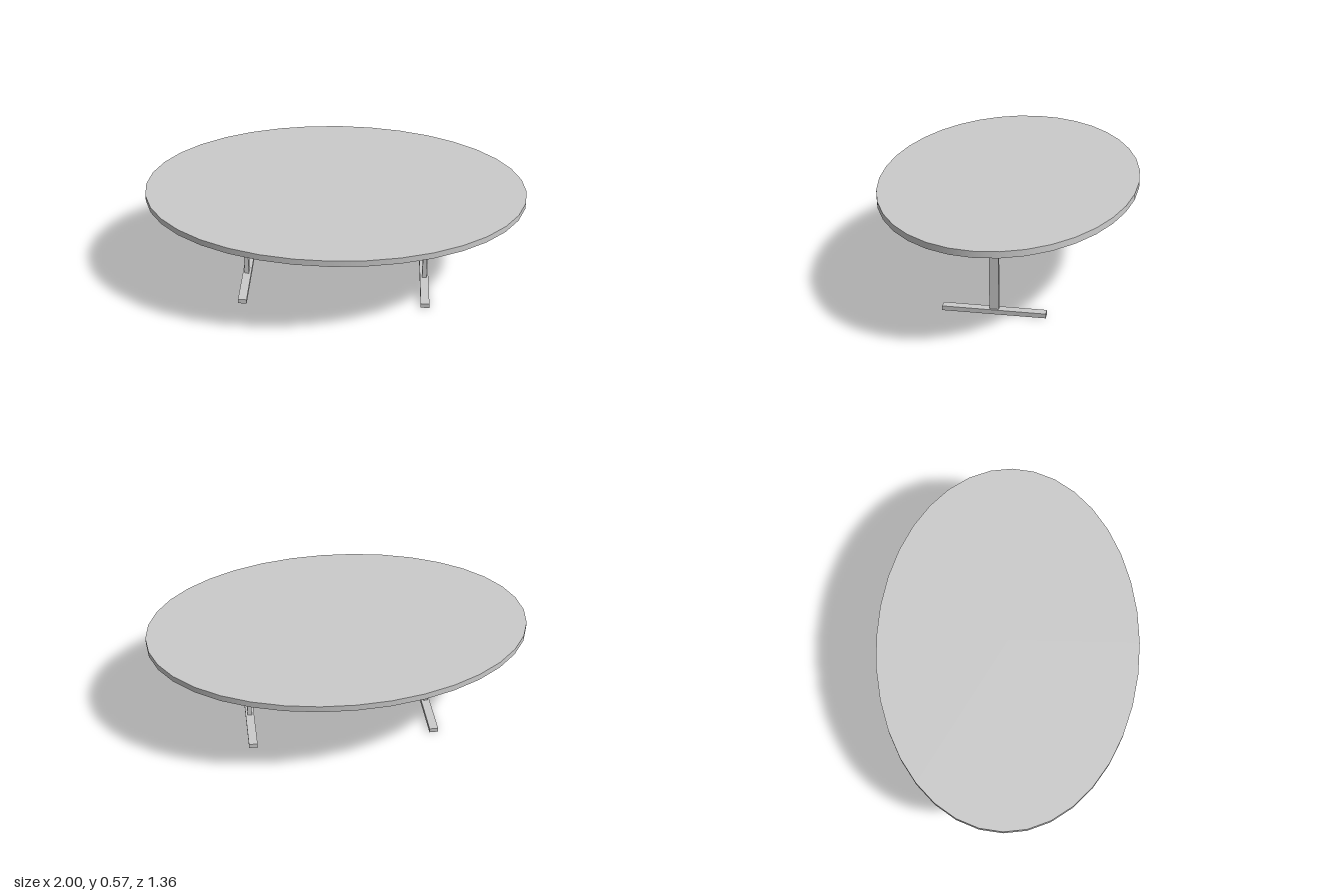
import * as THREE from 'three';

const material = new THREE.MeshStandardMaterial({ color: 0xcccccc });

const TOP = { y0: 0.54, y1: 0.573, halfDepth: 0.68 };
const FRAME = { halfSpan: 0.499, bar: 0.023, width: 0.048 };
const FOOT = { width: 0.046, height: 0.024, length: 0.536, x: 0.487 };

function addMesh(parent, name, geometry, x, y, z) {
  const mesh = new THREE.Mesh(geometry, material);
  mesh.name = name;
  mesh.position.set(x, y, z);
  parent.add(mesh);
  return mesh;
}

export function createModel() {
  const table = new THREE.Group();
  table.name = 'ovalTable';

  // Oval tabletop
  const thickness = TOP.y1 - TOP.y0;
  const topGeometry = new THREE.CylinderGeometry(1, 1, thickness, 36);
  topGeometry.scale(1, 1, TOP.halfDepth);
  addMesh(table, 'tabletop', topGeometry, 0, TOP.y0 + thickness / 2, 0);

  // Flat-bar frame: two legs joined by a crossbar under the top
  const { halfSpan: s, bar, width } = FRAME;
  const profile = new THREE.Shape([
    [-s, FOOT.height], [-s + bar, FOOT.height],
    [-s + bar, TOP.y0 - bar], [s - bar, TOP.y0 - bar],
    [s - bar, FOOT.height], [s, FOOT.height],
    [s, TOP.y0], [-s, TOP.y0],
  ].map(([x, y]) => new THREE.Vector2(x, y)));
  const frameGeometry = new THREE.ExtrudeGeometry(profile, { depth: width, bevelEnabled: false });
  addMesh(table, 'legFrame', frameGeometry, 0, 0, -width / 2);

  // Floor runners
  for (const side of [-1, 1]) {
    addMesh(table, side > 0 ? 'leftFoot' : 'rightFoot',
      new THREE.BoxGeometry(FOOT.width, FOOT.height, FOOT.length),
      side * FOOT.x, FOOT.height / 2, 0);
  }

  return table;
}
